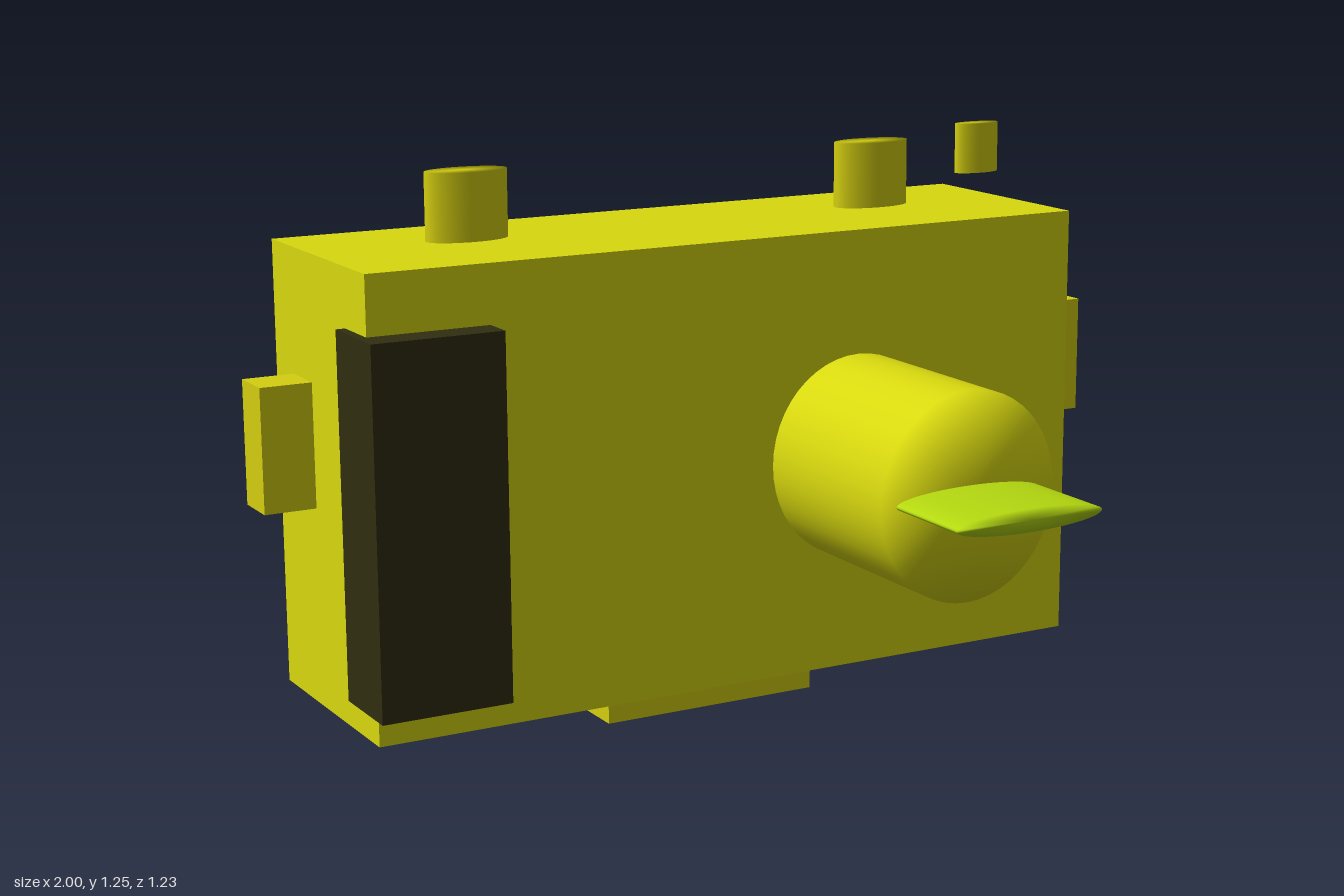
import * as THREE from 'three';

const material = (name, color) => {
  const m = new THREE.MeshStandardMaterial({ color });
  m.name = name;
  return m;
};

export function createModel() {
  const yellow = material('body yellow', 0xd8d80f);
  const trim = material('trim yellow', 0xd4ce10);
  const charcoal = material('grip charcoal', 0x302d10);
  const green = material('screen green', 0x4a9013);
  const lime = material('lens lime', 0xb4d810);

  const model = new THREE.Group();
  model.name = 'camera';

  const add = (name, geometry, mat, x, y, z) => {
    const mesh = new THREE.Mesh(geometry, mat);
    mesh.name = name;
    mesh.position.set(x, y, z);
    model.add(mesh);
  };

  // Box given by its limits along each axis
  const box = (name, mat, [x0, x1], [y0, y1], [z0, z1]) =>
    add(name, new THREE.BoxGeometry(x1 - x0, y1 - y0, z1 - z0), mat,
      (x0 + x1) / 2, (y0 + y1) / 2, (z0 + z1) / 2);

  // Oval cylinder along y whose caps shade smoothly into the rim
  const oval = (rx, length, rz) => {
    const g = new THREE.CylinderGeometry(1, 1, length, 48);
    const p = g.attributes.position;
    for (let i = 0; i < p.count; i++) {
      if (Math.hypot(p.getX(i), p.getZ(i)) > 0.5) {
        g.attributes.normal.setXYZ(i, p.getX(i), 0, p.getZ(i));
      }
    }
    return g.scale(rx, 1, rz);
  };

  // Main housing, hand grip, rear screen and base foot
  box('body', yellow, [-0.84, 0.84], [0.09, 1.055], [-0.577, -0.07]);
  box('grip', charcoal, [-0.86, -0.575], [0.16, 0.93], [-0.18, 0]);
  box('screen', green, [-0.25, 0.52], [0.29, 0.8], [-0.615, -0.57]);
  box('foot', trim, [-0.255, 0.252], [0, 0.077], [-0.44, -0.205]);

  // Strap lugs float just off both sides
  box('rightLug', trim, [-1, -0.89], [0.555, 0.815], [-0.342, -0.242]);
  box('leftLug', trim, [0.887, 1], [0.555, 0.815], [-0.342, -0.242]);

  // Lens barrel with a thin oval blade in front
  add('lensBarrel', oval(0.21, 0.425, 0.222).rotateX(Math.PI / 2), yellow, 0.26, 0.574, 0.188);
  add('lensBlade', oval(0.174, 0.215, 0.024).rotateX(Math.PI / 2), lime, 0.26, 0.574, 0.508);

  // Top buttons
  add('rightDial', oval(0.092, 0.15, 0.048), trim, -0.487, 1.125, -0.373);
  add('leftDial', oval(0.092, 0.15, 0.048), trim, 0.507, 1.125, -0.373);
  add('shutterButton', oval(0.055, 0.11, 0.024), trim, 0.692, 1.19, -0.224);

  return model;
}
